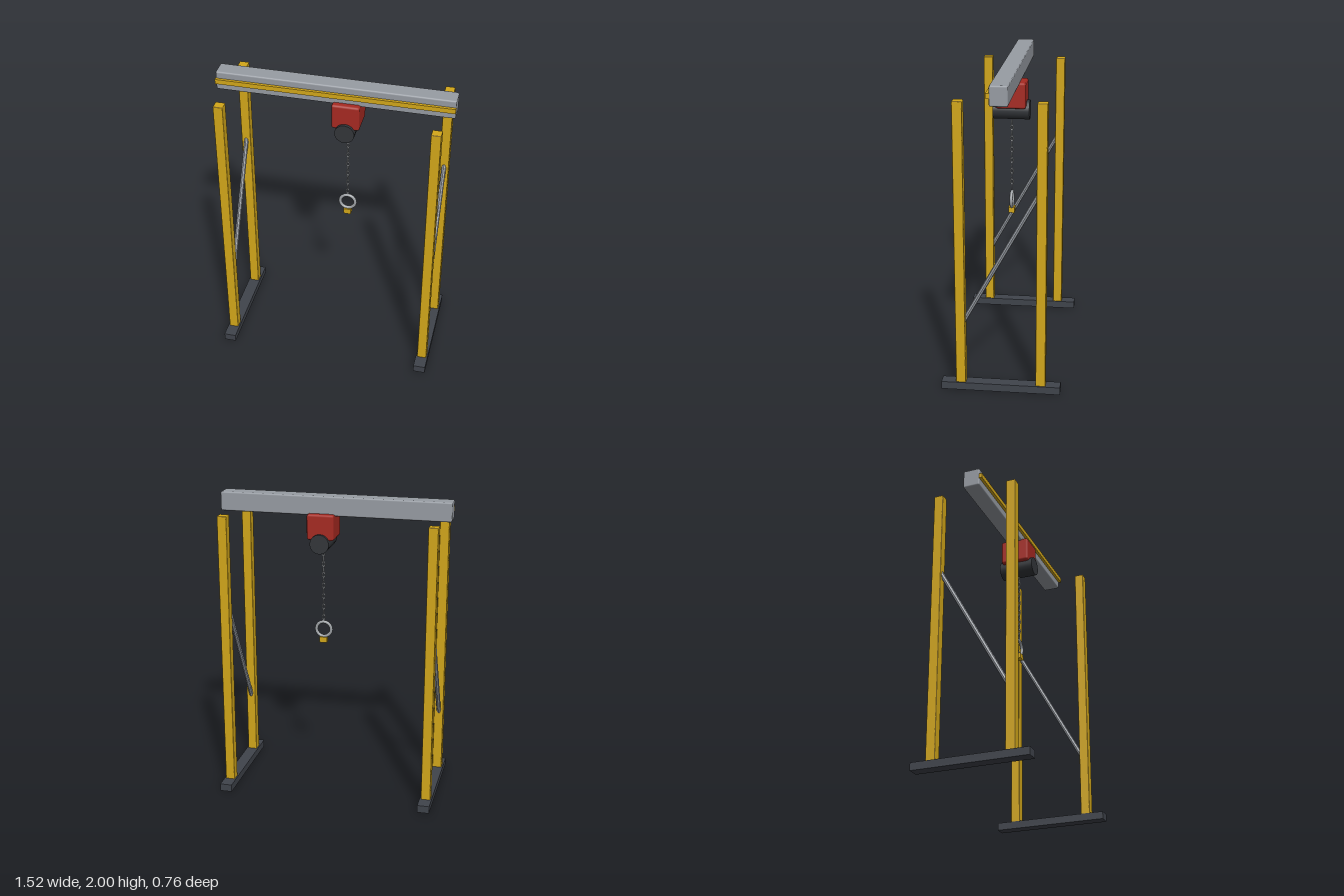
import * as THREE from 'three';
import { RoundedBoxGeometry } from 'three/addons/geometries/RoundedBoxGeometry.js';

const paint = (color, flatShading = false) => new THREE.MeshStandardMaterial({ color, flatShading });

export function createModel() {
  const model = new THREE.Group();
  const yellow = paint(0xd4a81a), dark = paint(0x40444c), grey = paint(0x989da4);
  const red = paint(0xa82a22), black = paint(0x33363a), steel = paint(0xa0a4a8);
  const facetedGrey = paint(0x989da4, true);

  function add(name, geometry, material, x, y, z, parent = model) {
    const mesh = new THREE.Mesh(geometry, material);
    mesh.name = name;
    mesh.position.set(x, y, z);
    parent.add(mesh);
    return mesh;
  }
  // box with small chamfered edges
  const block = (w, h, d, r) => new RoundedBoxGeometry(w, h, d, 1, r);

  // end frames: foot, two posts and a diagonal brace on each side
  const braceStart = new THREE.Vector3(0, 0.45, 0.245);
  const braceEnd = new THREE.Vector3(0, 1.34, -0.245);
  const braceDir = braceEnd.clone().sub(braceStart);
  for (const side of [-1, 1]) {
    const frame = new THREE.Group();
    frame.name = side > 0 ? 'leftFrame' : 'rightFrame';
    frame.position.x = side * 0.678;
    model.add(frame);
    add('foot', new THREE.BoxGeometry(0.08, 0.05, 0.762), dark, 0, 0.025, 0, frame);
    for (const z of [-0.255, 0.255]) {
      add(z > 0 ? 'frontPost' : 'backPost', block(0.063, 1.845, 0.063, 0.005), yellow, 0, 0.9675, z, frame);
    }
    const brace = add('brace', new THREE.CylinderGeometry(0.015, 0.015, braceDir.length(), 8), facetedGrey,
      0, (braceStart.y + braceEnd.y) / 2, 0, frame);
    brace.quaternion.setFromUnitVectors(new THREE.Vector3(0, 1, 0), braceDir.clone().normalize());
  }

  // overhead beam with a stripe along its front
  add('beam', block(1.52, 0.126, 0.114, 0.01), grey, 0, 1.937, 0);
  add('beamStripe', new THREE.BoxGeometry(1.52, 0.032, 0.022), yellow, 0, 1.939, 0.065);

  // hoist hanging under the beam
  const hoist = new THREE.Group();
  hoist.name = 'hoist';
  hoist.position.x = 0.082;
  model.add(hoist);
  add('hoistBody', block(0.18, 0.168, 0.196, 0.014), red, 0, 1.803, 0, hoist);
  add('drum', new THREE.CylinderGeometry(0.064, 0.064, 0.236, 16), black, 0, 1.698, 0, hoist).rotation.x = Math.PI / 2;

  // chain of stretched links, each turned a quarter from the last
  const linkCount = 13, top = 1.63, bottom = 1.155;
  const pitch = (top - bottom) / linkCount;
  const linkGeometry = new THREE.TorusGeometry(0.009, 0.004, 6, 12).scale(1, 1.85, 1);
  for (let i = 0; i < linkCount; i++) {
    const link = add('chainLink', linkGeometry, steel, 0, top - (i + 0.5) * pitch, 0, hoist);
    link.rotation.y = (i % 2) * Math.PI / 2;
  }

  // lifting ring and the small block beneath it
  add('ring', new THREE.TorusGeometry(0.051, 0.011, 8, 16), steel, 0, 1.09, 0, hoist);
  add('ringBlock', new THREE.BoxGeometry(0.05, 0.037, 0.04), yellow, 0, 1.0185, 0, hoist);

  return model;
}
